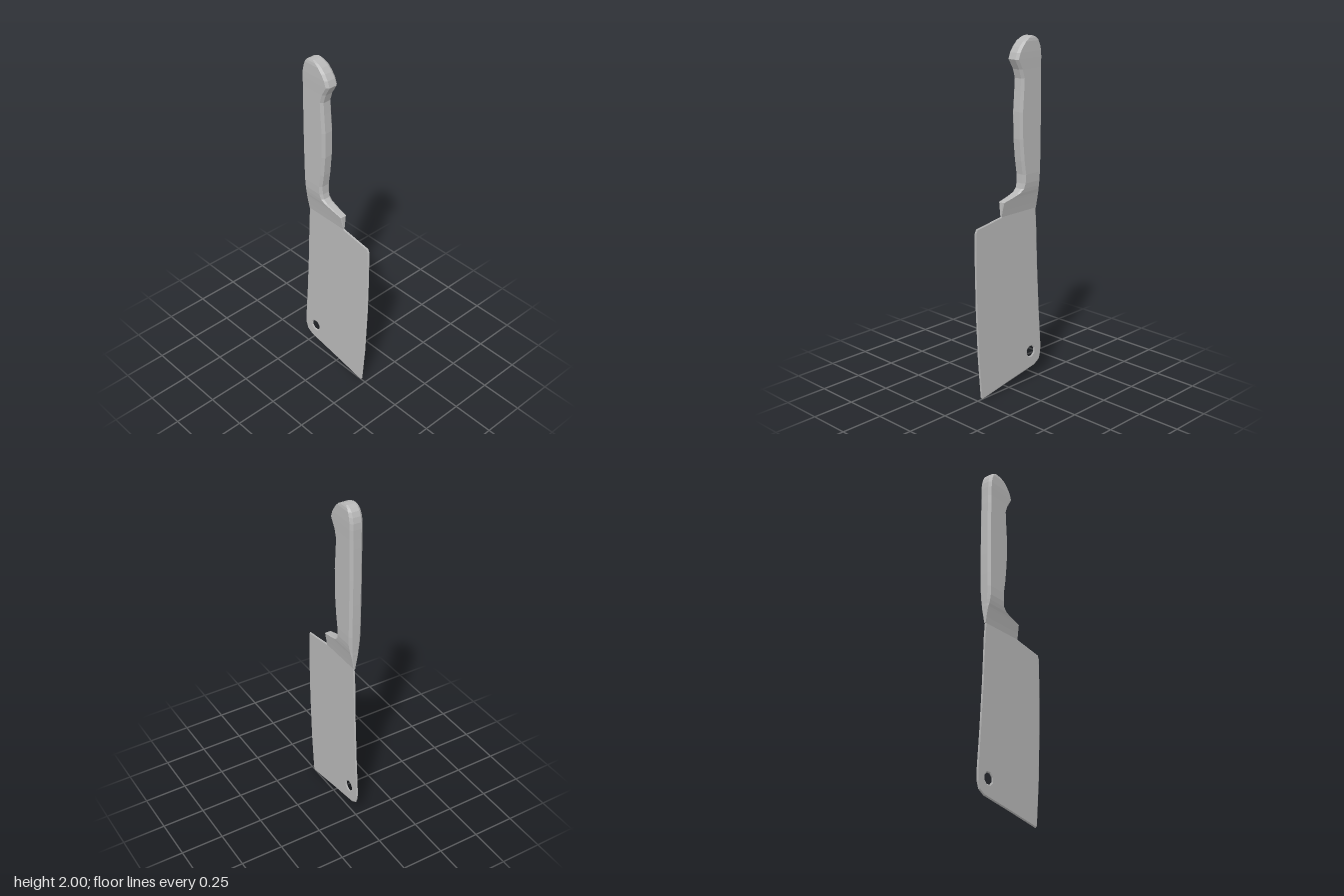
import * as THREE from 'three';

// Stack of chamfered rectangles: [y, left x, right x, half depth, chamfer]
function loft(sections) {
  const pos = [], idx = [], n = 8;
  for (const [y, l, r, h, c] of sections) {
    const d = Math.min(c, h * 0.6);
    const ring = [[r, -h + d], [r, h - d], [r - c, h], [l + c, h],
      [l, h - d], [l, -h + d], [l + c, -h], [r - c, -h]];
    for (const [x, z] of ring) pos.push(x, y, z);
  }
  for (let k = 0; k < sections.length - 1; k++) {
    for (let i = 0; i < n; i++) {
      const a = k * n + i, b = k * n + (i + 1) % n;
      idx.push(a, a + n, b, b, a + n, b + n);
    }
  }
  // End caps
  const top = (sections.length - 1) * n;
  for (let i = 1; i < n - 1; i++) {
    idx.push(0, i, i + 1, top, top + i + 1, top + i);
  }
  const g = new THREE.BufferGeometry();
  g.setAttribute('position', new THREE.Float32BufferAttribute(pos, 3));
  g.setIndex(idx);
  const flat = g.toNonIndexed();
  flat.computeVertexNormals();
  return flat;
}

export function createModel() {
  const group = new THREE.Group();
  group.name = 'cleaver';
  const steel = new THREE.MeshStandardMaterial({ color: 0xb8b8b8, flatShading: true });
  steel.name = 'grey steel';
  const add = (name, geometry) => {
    const mesh = new THREE.Mesh(geometry, steel);
    mesh.name = name;
    group.add(mesh);
  };

  // Thin blade with a narrow bevelled rim and a hanging hole
  const outline = [
    [0.215, 0], [0.225, 0.012], [0.245, 0.25], [0.258, 0.55], [0.262, 0.8],
    [0.26, 0.985], [0.25, 1.005], [0.065, 1.035], [0.05, 1.06], [-0.21, 1.06],
    [-0.22, 0.95], [-0.23, 0.7], [-0.247, 0.42], [-0.264, 0.2], [-0.264, 0.14],
    [-0.25, 0.1], [-0.21, 0.076], [0, 0.04],
  ].map(([x, y]) => new THREE.Vector2(x, y));
  const shape = new THREE.Shape(outline);
  const hole = [];
  for (let i = 0; i < 8; i++) {
    const a = -i * Math.PI / 4 + Math.PI / 8;
    hole.push(new THREE.Vector2(-0.177 + 0.031 * Math.cos(a), 0.172 + 0.033 * Math.sin(a)));
  }
  shape.holes.push(new THREE.Path(hole));
  const blade = new THREE.ExtrudeGeometry(shape, {
    depth: 0.004, bevelEnabled: true, bevelThickness: 0.003,
    bevelSize: 0.006, bevelOffset: -0.006, bevelSegments: 1,
  });
  blade.translate(0, 0, -0.002);
  add('blade', blade);

  // Bolster tapering from the handle down to the blade, stepped on the edge side
  add('bolster', loft([
    [1.035, -0.217, 0.064, 0.005, 0.003],
    [1.07, -0.218, 0.063, 0.011, 0.004],
    [1.117, -0.219, 0.06, 0.02, 0.005],
    [1.132, -0.22, 0.0, 0.023, 0.007],
    [1.148, -0.22, -0.05, 0.027, 0.01],
    [1.17, -0.221, -0.076, 0.031, 0.012],
    [1.2, -0.222, -0.083, 0.035, 0.014],
  ]));

  // Contoured grip with a flared, rounded butt
  add('handle', loft([
    [1.2, -0.222, -0.083, 0.035, 0.014],
    [1.25, -0.224, -0.085, 0.037, 0.014],
    [1.33, -0.226, -0.072, 0.037, 0.014],
    [1.45, -0.227, -0.06, 0.037, 0.014],
    [1.6, -0.228, -0.058, 0.037, 0.014],
    [1.71, -0.227, -0.066, 0.037, 0.014],
    [1.78, -0.227, -0.07, 0.037, 0.014],
    [1.83, -0.226, -0.055, 0.037, 0.014],
    [1.885, -0.226, -0.023, 0.038, 0.014],
    [1.92, -0.224, -0.036, 0.038, 0.014],
    [1.95, -0.217, -0.057, 0.037, 0.014],
    [1.975, -0.205, -0.083, 0.036, 0.013],
    [1.99, -0.19, -0.109, 0.033, 0.011],
    [2.0, -0.168, -0.138, 0.028, 0.007],
  ]));

  return group;
}
